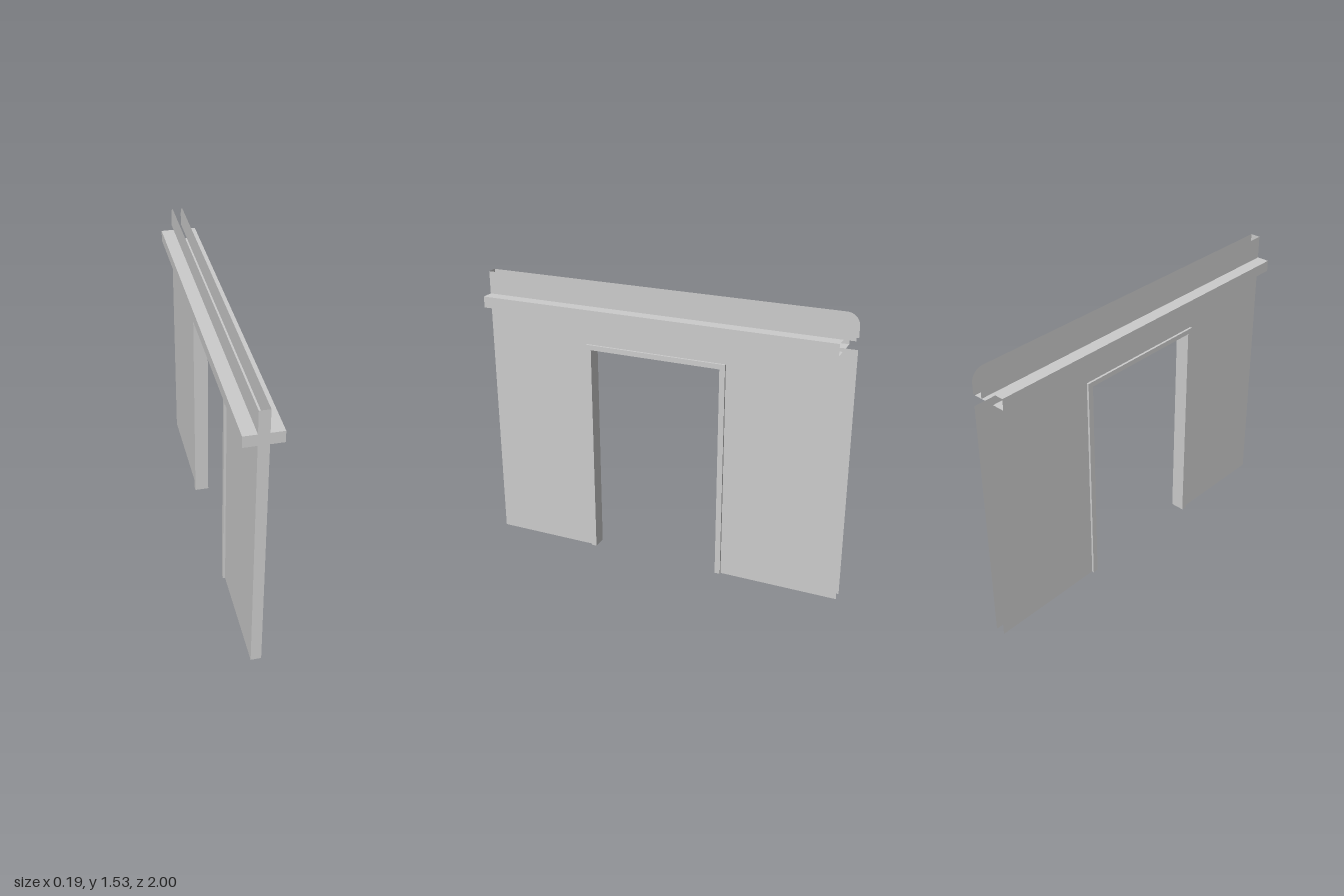
import * as THREE from 'three';

const WALL = 0.027, FRAME = 0.039, LEDGE = 0.095;  // half thicknesses
const TOP = 1.534, LEDGE_LOW = 1.352, LEDGE_HIGH = 1.412;
const LEDGE_BACK = -0.94, ROUND = 0.065;
const OUTER = { back: -0.357, front: 0.423, top: 1.204 };   // door frame outside
const INNER = { back: -0.327, front: 0.395, top: 1.177 };   // door frame opening

const material = new THREE.MeshStandardMaterial({
  color: 0xcccccc, side: THREE.DoubleSide, flatShading: true,
});

function add(group, name, geometry) {
  const mesh = new THREE.Mesh(geometry, material);
  mesh.name = name;
  group.add(mesh);
  return mesh;
}

// Open band of flat faces joining two rows of [x, y, z] points.
function ribbon(rowA, rowB) {
  const pos = [];
  for (let i = 0; i < rowA.length - 1; i++) {
    const a = rowA[i], b = rowA[i + 1], c = rowB[i + 1], d = rowB[i];
    pos.push(...a, ...b, ...c, ...a, ...c, ...d);
  }
  const g = new THREE.BufferGeometry();
  g.setAttribute('position', new THREE.Float32BufferAttribute(pos, 3));
  g.computeVertexNormals();
  return g;
}

// Flat sheet drawn in (z, y), standing at the given x and facing outward.
function sheet(shape, x) {
  const g = new THREE.ShapeGeometry(shape, 8);
  g.rotateY(-Math.PI / 2);
  if (x > 0) {
    const idx = g.index.array;
    for (let i = 0; i < idx.length; i += 3) [idx[i], idx[i + 1]] = [idx[i + 1], idx[i]];
    g.computeVertexNormals();
  }
  return g.translate(x, 0, 0);
}

const polygon = (pts) => new THREE.Shape(pts.map(([a, b]) => new THREE.Vector2(a, b)));

// Door outline from the front foot, over the head, to the back foot.
const doorPath = (d) => [[d.front, 0], [d.front, d.top], [d.back, d.top], [d.back, 0]];

export function createModel() {
  const model = new THREE.Group();
  model.name = 'doorwayWall';

  // Wall panel with its doorway cut out
  const panel = polygon([[-1, 0], [-1, LEDGE_LOW], [1, LEDGE_LOW], [1, 0], ...doorPath(OUTER)]);

  // Upper band with a rounded back corner
  const band = new THREE.Shape();
  band.moveTo(1, LEDGE_HIGH);
  band.lineTo(1, TOP);
  band.lineTo(-1 + ROUND, TOP);
  band.absarc(-1 + ROUND, TOP - ROUND, ROUND, Math.PI / 2, Math.PI, false);
  band.lineTo(-1, LEDGE_HIGH);

  // Flat face of the door frame
  const trim = polygon([...doorPath(OUTER), ...doorPath(INNER).reverse()]);

  for (const side of [-1, 1]) {
    const label = side > 0 ? 'left' : 'right';
    add(model, label + 'WallPanel', sheet(panel, side * WALL));
    add(model, label + 'UpperBand', sheet(band, side * WALL));
    add(model, label + 'FrameFace', sheet(trim, side * FRAME));

    // Outer edge of the frame, back to the wall
    const edge = (x) => doorPath(OUTER).map(([z, y]) => [side * x, y, z]);
    add(model, label + 'FrameEdge', side > 0
      ? ribbon(edge(FRAME), edge(WALL)) : ribbon(edge(WALL), edge(FRAME)));

    // Ledge: underside, outer face and top, open at the back
    const ledge = (z) => [
      [WALL, LEDGE_LOW], [LEDGE, LEDGE_LOW], [LEDGE, LEDGE_HIGH], [WALL, LEDGE_HIGH],
    ].map(([x, y]) => [side * x, y, z]);
    add(model, label + 'Ledge', side > 0
      ? ribbon(ledge(1), ledge(LEDGE_BACK)) : ribbon(ledge(LEDGE_BACK), ledge(1)));
  }

  // Lining of the doorway through the wall
  const lining = (x) => doorPath(INNER).map(([z, y]) => [x, y, z]);
  add(model, 'doorLining', ribbon(lining(-FRAME), lining(FRAME)));

  // Cross-shaped front end
  const half = [
    [WALL, 0], [WALL, LEDGE_LOW], [LEDGE, LEDGE_LOW],
    [LEDGE, LEDGE_HIGH], [WALL, LEDGE_HIGH], [WALL, TOP],
  ];
  const cross = polygon([...half, ...half.map(([x, y]) => [-x, y]).reverse()]);
  add(model, 'frontEnd', new THREE.ShapeGeometry(cross).translate(0, 0, 1));

  return model;
}
